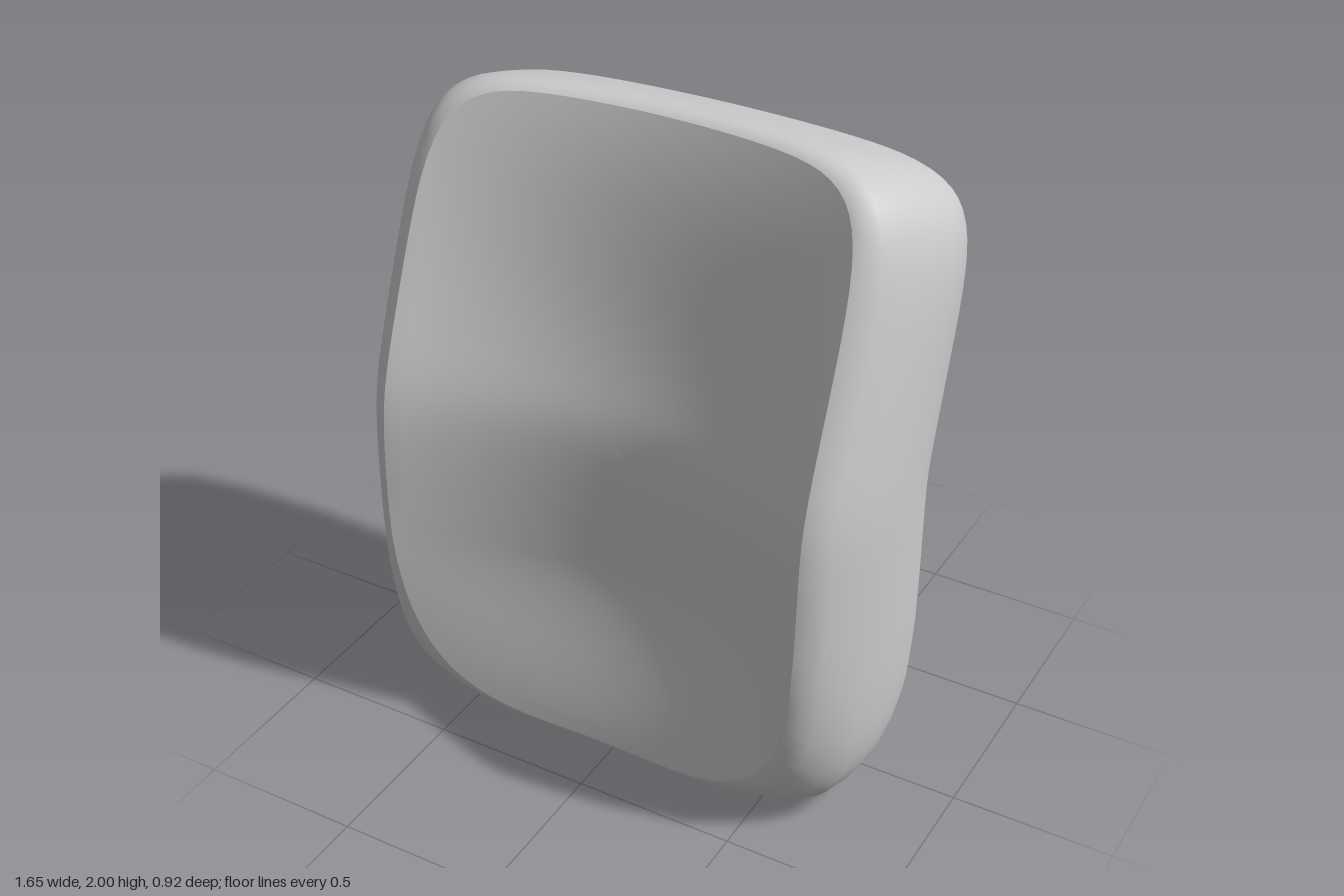
import * as THREE from 'three';

const SEG = 128; // points around each ring
const HALF_WIDTH = 0.825;
const HEIGHT = 2.035;

// smooth ramp: 0 below zero, x above, blended over width w
const ramp = (x, w) => (x + Math.sqrt(x * x + w * w)) / 2;
const { lerp, smoothstep } = THREE.MathUtils;

// Place a point: x across, s along the height, d from front (0) to back (1)
function place(x, s, d) {
  const frontZ = 0.468 - 0.42 * ramp(s - 1.13, 0.13);
  const up = ramp(s - 1.03, 0.03);
  const backY = s - 0.2 * up;
  const backZ = -0.268 - 0.24 * up + 0.04 * (x / 0.65) ** 2;
  // hollow of the front, shallower at both ends
  const depth = 0.075 + 0.1 * smoothstep(s, 0, 0.65) + 0.025 * s - 0.11 * smoothstep(s, 1.2, 2.0);
  const hollow = depth * Math.max(0, 1 - (x / 0.67) ** 2) * (1 - d);
  return [x, lerp(s, backY, d) - 0.05 * hollow, lerp(frontZ, backZ, d) - hollow];
}

// Rounded-rectangle ring with insets at the side, bottom and top, shrunk by k
function ring([side, bottom, top, d], k = 1) {
  const points = [];
  const mid = (bottom + HEIGHT - top) / 2;
  const half = (HEIGHT - top - bottom) / 2;
  const bottomPower = lerp(3.7, 6.3, smoothstep(d, 0, 0.3));
  for (let j = 0; j < SEG; j++) {
    const q = (j / SEG) * 4;
    const edge = Math.floor(q);
    const f = (q - edge) * 2 - 1;
    const [a, b] = [[1, f], [-f, 1], [-1, -f], [f, -1]][edge];
    const n = b > 0 ? 7.5 : bottomPower;
    const r = k / (Math.abs(a) ** n + Math.abs(b) ** n) ** (1 / n);
    points.push(place(a * r * (HALF_WIDTH - side), mid + b * r * half, d));
  }
  return points;
}

// Skin a list of closed rings
function skin(name, rings) {
  const index = [];
  for (let i = 0; i < rings.length - 1; i++) {
    for (let j = 0; j < SEG; j++) {
      const a = i * SEG + j, c = i * SEG + ((j + 1) % SEG);
      index.push(a, a + SEG, c, a + SEG, c + SEG, c);
    }
  }
  const geometry = new THREE.BufferGeometry();
  geometry.setAttribute('position', new THREE.Float32BufferAttribute(rings.flat(2), 3));
  geometry.setIndex(index);
  geometry.computeVertexNormals();
  const mesh = new THREE.Mesh(geometry, new THREE.MeshStandardMaterial({ color: 0xcccccc }));
  mesh.name = name;
  return mesh;
}

export function createModel() {
  const group = new THREE.Group();
  group.name = 'backCushion';

  // side, bottom and top insets, depth
  const profile = [
    [0.15, 0.085, 0.04, 0.0],
    [0.115, 0.062, 0.022, 0.025],
    [0.085, 0.042, 0.012, 0.08],
    [0.055, 0.022, 0.004, 0.17],
    [0.03, 0.01, 0, 0.27],
    [0.01, 0.002, 0, 0.4],
    [0, 0.004, 0, 0.53],
    [0.002, 0.02, 0, 0.65],
    [0.01, 0.05, 0.004, 0.75],
    [0.026, 0.1, 0.015, 0.83],
    [0.048, 0.165, 0.04, 0.89],
    [0.078, 0.25, 0.09, 0.94],
    [0.115, 0.35, 0.16, 0.975],
    [0.16, 0.45, 0.23, 0.993],
    [0.22, 0.54, 0.31, 1.0],
  ];
  const front = profile[0];
  const back = profile[profile.length - 1];
  const STEPS = 28;

  // Hollowed front panel, from its centre out to the rim
  const panel = [];
  for (let i = 0; i <= STEPS; i++) panel.push(ring(front, i / STEPS));
  group.add(skin('frontPanel', panel));

  // Rounded body, from the rim around the sides to the centre of the back
  const body = profile.map((p) => ring(p));
  for (let i = STEPS - 1; i >= 0; i--) body.push(ring(back, i / STEPS));
  group.add(skin('cushionBody', body));

  return group;
}
